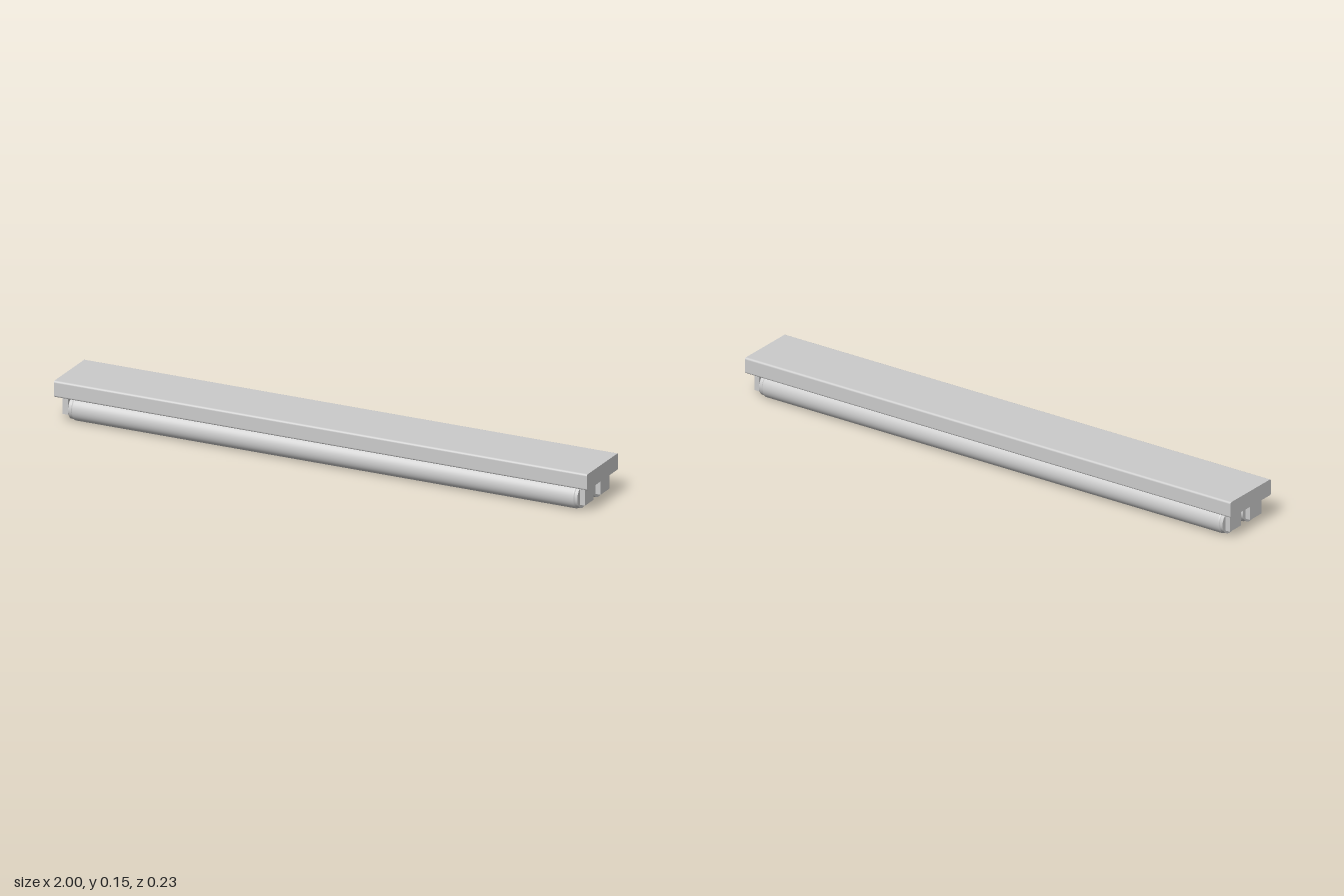
import * as THREE from 'three';

const material = new THREE.MeshStandardMaterial({ color: 0xcccccc });

function add(parent, name, geometry, x = 0, y = 0, z = 0) {
  const mesh = new THREE.Mesh(geometry, material);
  mesh.name = name;
  mesh.position.set(x, y, z);
  parent.add(mesh);
  return mesh;
}

// Rounded rectangle in the z/y plane, extruded along x
function roundedBar(length, height, depth, r) {
  const w = depth / 2, h = height / 2;
  const s = new THREE.Shape();
  s.moveTo(-w + r, -h);
  s.lineTo(w - r, -h);
  s.absarc(w - r, -h + r, r, -Math.PI / 2, 0);
  s.lineTo(w, h - r);
  s.absarc(w - r, h - r, r, 0, Math.PI / 2);
  s.lineTo(-w + r, h);
  s.absarc(-w + r, h - r, r, Math.PI / 2, Math.PI);
  s.lineTo(-w, -h + r);
  s.absarc(-w + r, -h + r, r, Math.PI, Math.PI * 1.5);
  const g = new THREE.ExtrudeGeometry(s, { depth: length, bevelEnabled: false, curveSegments: 6 });
  return g.translate(0, 0, -length / 2).rotateY(Math.PI / 2);
}

function rod(radius, length, segments = 48) {
  return new THREE.CylinderGeometry(radius, radius, length, segments).rotateZ(Math.PI / 2);
}

// Glass tube with softly rounded shoulders, turned around x
function glassTube(radius, halfLength) {
  const r = 0.008;
  const profile = [new THREE.Vector2(0, -halfLength)];
  for (let i = 0; i <= 5; i++) {
    const a = (i / 5) * Math.PI / 2;
    profile.push(new THREE.Vector2(radius - r + r * Math.sin(a), -halfLength + r - r * Math.cos(a)));
  }
  const mirrored = profile.map(p => new THREE.Vector2(p.x, -p.y)).reverse();
  return new THREE.LatheGeometry([...profile, ...mirrored], 48).rotateZ(Math.PI / 2);
}

export function createModel() {
  const model = new THREE.Group();
  model.name = 'twinTubeLight';

  // Ceiling housing
  add(model, 'housing', roundedBar(2, 0.058, 0.234, 0.007), 0, 0.119, 0);

  const tubeY = 0.0445;
  for (const side of [1, -1]) {
    const lamp = new THREE.Group();
    lamp.name = side > 0 ? 'frontLamp' : 'backLamp';
    lamp.position.z = side * 0.0585;
    model.add(lamp);

    add(lamp, 'glassTube', glassTube(0.0445, 0.945), 0, tubeY, 0);

    for (const end of [1, -1]) {
      // End cap, contact pins and the holder hanging from the housing
      add(lamp, 'endCap', rod(0.041, 0.025), end * 0.9425, tubeY, 0);
      for (const pin of [1, -1]) {
        add(lamp, 'contactPin', rod(0.004, 0.02, 12), end * 0.959, tubeY, pin * 0.014);
      }
      add(lamp, 'lampHolder', new THREE.BoxGeometry(0.019, 0.068, 0.065), end * 0.97, 0.059, 0);
    }
  }
  return model;
}
